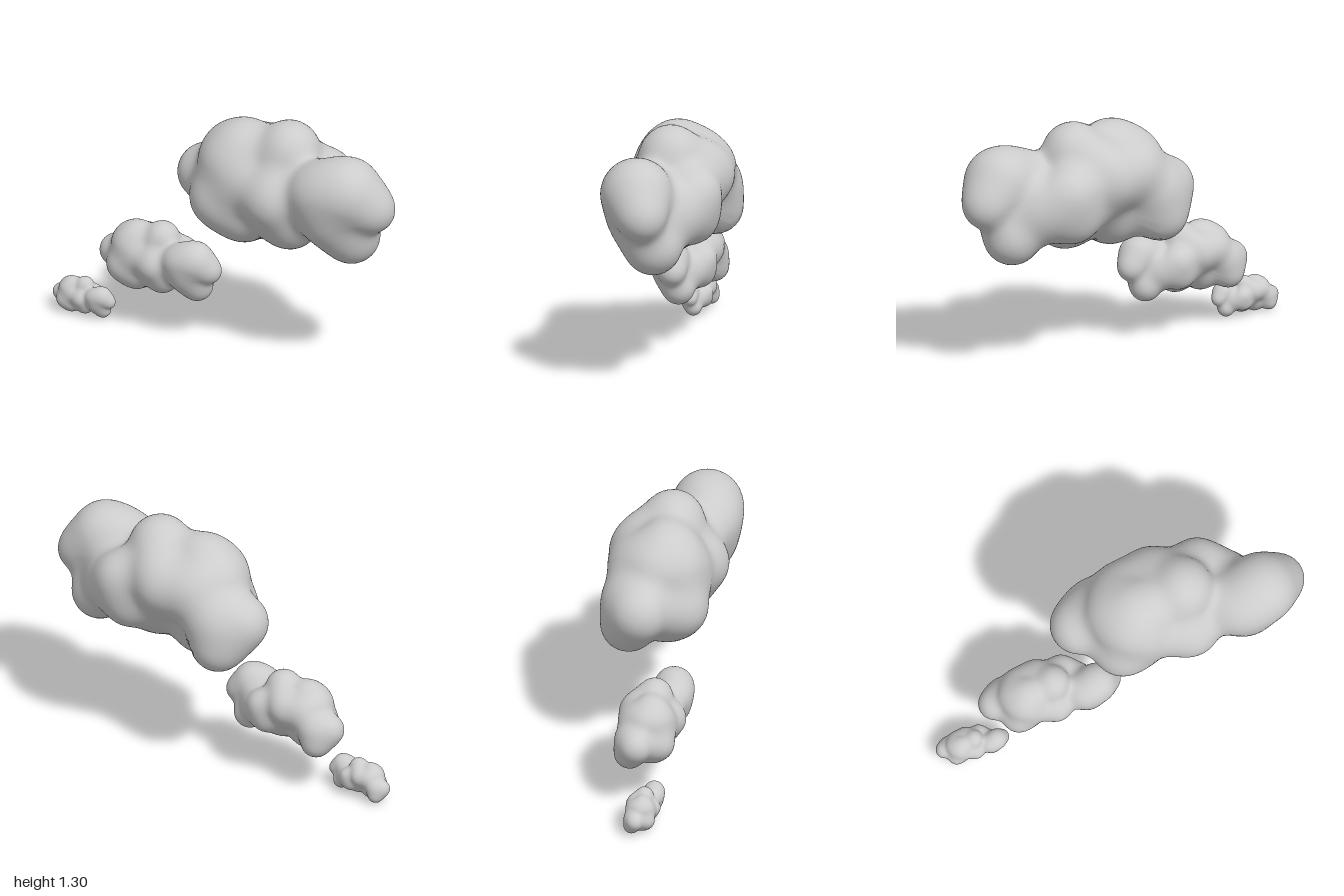
import * as THREE from 'three';
import { mergeVertices } from 'three/addons/utils/BufferGeometryUtils.js';

// Puffs of the cloud: x, y, z, radius
const PUFFS = [
  [0.30, 0.94, 0.00, 0.23], [0.08, 0.95, 0.00, 0.21],                              // core
  [0.35, 1.14, 0.00, 0.163], [0.10, 1.10, 0.02, 0.165], [0.00, 1.04, -0.02, 0.155], // crown
  [0.06, 1.03, 0.08, 0.15], [0.28, 1.08, -0.12, 0.12],
  [0.22, 1.02, -0.155, 0.144], [0.48, 0.98, -0.145, 0.145], [0.45, 0.85, -0.13, 0.135], // back
  [0.06, 1.02, -0.12, 0.145],
  [-0.18, 0.88, -0.06, 0.15], [-0.10, 0.765, -0.13, 0.145], [-0.07, 0.90, -0.13, 0.135], // left end
  [0.00, 0.84, 0.105, 0.155], [0.10, 0.77, 0.03, 0.172],                           // lower front
  [0.15, 0.96, 0.09, 0.14], [0.35, 0.92, 0.135, 0.155], [0.38, 0.785, 0.04, 0.158], // middle front
  [0.75, 1.04, 0.09, 0.183], [0.62, 1.01, 0.12, 0.165], [0.87, 0.95, 0.04, 0.12],   // right end
  [0.66, 0.87, 0.10, 0.15], [0.73, 0.765, 0.01, 0.148], [0.58, 0.90, -0.06, 0.16],
];
const CENTER = new THREE.Vector3(0.33, 0.948, 0.002);
const BLEND = 0.09;

// Distance to the softly blended puffs
function distance(p) {
  let d = Infinity;
  for (const [x, y, z, r] of PUFFS) {
    const e = Math.hypot(p.x - x, p.y - y, p.z - z) - r;
    const h = Math.max(0, BLEND - Math.abs(d - e));
    d = Math.min(d, e) - h * h / (4 * BLEND);
  }
  return d;
}

// Shrink-wrap a sphere onto the puffs
function cloudGeometry() {
  let geo = new THREE.IcosahedronGeometry(1, 26);
  geo.deleteAttribute('normal');
  geo.deleteAttribute('uv');
  geo = mergeVertices(geo, 1e-5);
  const pos = geo.attributes.position;
  const dir = new THREE.Vector3(), start = new THREE.Vector3(), p = new THREE.Vector3();
  for (let i = 0; i < pos.count; i++) {
    dir.fromBufferAttribute(pos, i).normalize();
    start.copy(CENTER);
    start.x += dir.x * 0.38;
    let t = 0.9;
    for (let step = 0; step < 60; step++) {
      const d = distance(p.copy(start).addScaledVector(dir, t));
      if (d < 0.0004) break;
      t = Math.max(0.02, t - d);
    }
    p.copy(start).addScaledVector(dir, t).sub(CENTER);
    pos.setXYZ(i, p.x, p.y, p.z);
  }
  geo.computeVertexNormals();
  return geo;
}

export function createModel() {
  const group = new THREE.Group();
  const geo = cloudGeometry();
  const material = new THREE.MeshStandardMaterial({ color: 0xcccccc });

  // The same cloud at three sizes, rising to one side
  const clouds = [
    ['largeCloud', 0.33, 0.948, 0.002, 1],
    ['mediumCloud', -0.38, 0.402, 0.07, 0.56],
    ['smallCloud', -0.81, 0.104, 0.115, 0.288],
  ];
  for (const [name, x, y, z, scale] of clouds) {
    const cloud = new THREE.Mesh(geo, material);
    cloud.name = name;
    cloud.position.set(x, y, z);
    cloud.scale.setScalar(scale);
    group.add(cloud);
  }
  return group;
}
